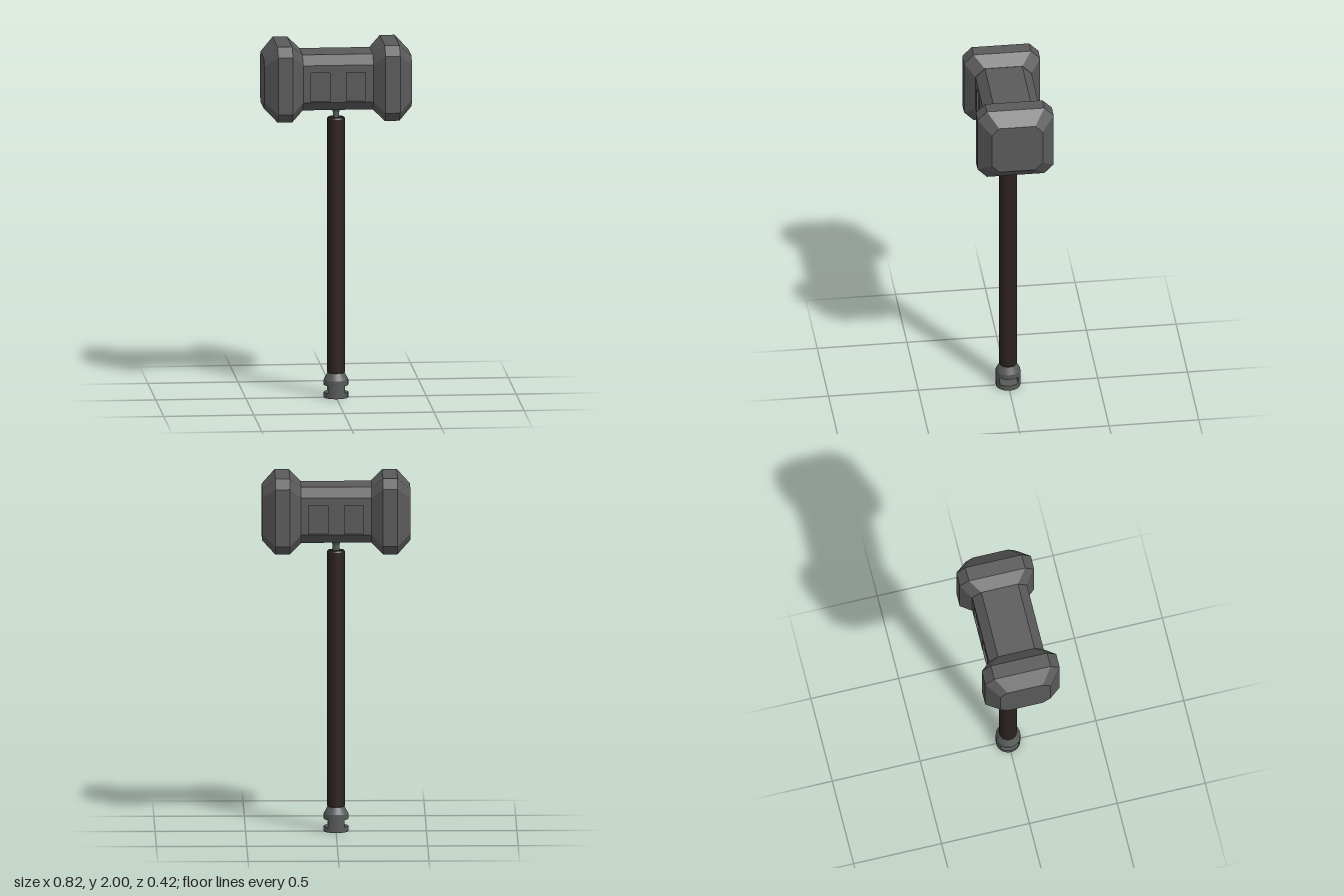
import * as THREE from 'three';

const HEAD_Y = 1.79;

// Chamfered-square cross-section as [y, z] pairs
function octagon(h, c) {
  const b = h - c;
  return [[h, -b], [h, b], [b, h], [-b, h], [-h, b], [-h, -b], [-b, -h], [b, -h]];
}

// Loft octagons along x; rings are [x, half size, chamfer]
function loft(rings, { caps = true, skip = [] } = {}) {
  const pos = [];
  const sections = rings.map(([x, h, c]) => octagon(h, c).map(([y, z]) => [x, y, z]));
  const tri = (a, b, c) => pos.push(...a, ...b, ...c);
  for (let r = 0; r < sections.length - 1; r++) {
    const s = sections[r], t = sections[r + 1];
    for (let i = 0; i < 8; i++) {
      if (skip.includes(i)) continue;
      const j = (i + 1) % 8;
      tri(s[i], t[j], t[i]);
      tri(s[i], s[j], t[j]);
    }
  }
  if (caps) {
    const s = sections[0], t = sections[sections.length - 1];
    for (let i = 1; i < 7; i++) {
      tri(s[0], s[i + 1], s[i]);
      tri(t[0], t[i], t[i + 1]);
    }
  }
  const geo = new THREE.BufferGeometry();
  geo.setAttribute('position', new THREE.Float32BufferAttribute(pos, 3));
  geo.computeVertexNormals();
  return geo;
}

export function createModel() {
  const model = new THREE.Group();
  model.name = 'warHammer';

  const stone = new THREE.MeshStandardMaterial({ color: 0x5a5a5a });
  stone.name = 'darkGreyStone';
  const metal = new THREE.MeshStandardMaterial({ color: 0x565a58 });
  metal.name = 'greyMetal';
  const leather = new THREE.MeshStandardMaterial({ color: 0x2c2121 });
  leather.name = 'darkBrownGrip';

  const add = (name, geo, mat, parent = model, y = 0) => {
    const mesh = new THREE.Mesh(geo, mat);
    mesh.name = name;
    mesh.position.y = y;
    parent.add(mesh);
    return mesh;
  };
  // Round section between two heights
  const turned = (name, y0, y1, r0, r1, mat, open = false) =>
    add(name, new THREE.CylinderGeometry(r1, r0, y1 - y0, 32, 1, open), mat, model, (y0 + y1) / 2);

  // Head: two striking blocks joined by a chamfered body
  const head = new THREE.Group();
  head.name = 'head';
  head.position.y = HEAD_Y;
  model.add(head);

  const block = [[0.195, 0.157, 0.052], [0.257, 0.212, 0.052], [0.338, 0.212, 0.052], [0.41, 0.142, 0.042]];
  add('leftBlock', loft(block), stone, head);
  add('rightBlock', loft(block.map(([x, h, c]) => [-x, h, c]).reverse()), stone, head);
  add('headBody', loft([[-0.196, 0.156, 0.052], [0.196, 0.156, 0.052]], { caps: false, skip: [2, 6] }), stone, head);

  // Front and back faces with two shallow recesses each
  const depth = 0.012;
  const face = new THREE.Shape();
  face.moveTo(-0.196, -0.104).lineTo(0.196, -0.104).lineTo(0.196, 0.104).lineTo(-0.196, 0.104).closePath();
  for (const x of [-0.153, 0.045]) {
    const hole = new THREE.Path();
    hole.moveTo(x, -0.1).lineTo(x, 0.062).lineTo(x + 0.106, 0.062).lineTo(x + 0.106, -0.1).closePath();
    face.holes.push(hole);
  }
  for (const [name, turn] of [['front', 0], ['back', Math.PI]]) {
    const side = new THREE.Group();
    side.name = name + 'Panel';
    side.rotation.y = turn;
    head.add(side);
    const frame = new THREE.ExtrudeGeometry(face, { depth, bevelEnabled: false });
    add(name + 'Frame', frame.translate(0, 0, 0.156 - depth), stone, side);
    add(name + 'RecessFloor', new THREE.PlaneGeometry(0.39, 0.206).translate(0, 0, 0.1565 - depth), stone, side);
  }

  // Neck between shaft and head
  turned('neckFlare', 1.605, 1.636, 0.018, 0.032, metal, true);
  turned('neckPin', 1.57, 1.605, 0.018, 0.018, metal, true);

  // Shaft with slightly eased ends
  turned('shaftLowerEdge', 0.135, 0.145, 0.045, 0.05, leather);
  turned('shaft', 0.145, 1.567, 0.05, 0.05, leather, true);
  turned('shaftUpperEdge', 1.567, 1.576, 0.05, 0.045, leather);

  // Pommel with a slot cut straight through along x
  const R = 0.068;
  turned('pommelBase', 0, 0.03, R, R, metal);
  turned('pommelBand', 0.07, 0.1, R, R, metal);
  turned('pommelTaper', 0.1, 0.14, R, 0.047, metal);
  const a = Math.asin(0.05 / R);
  for (const [name, start] of [['Back', a], ['Front', a + Math.PI]]) {
    const cheek = new THREE.Shape();
    cheek.absarc(0, 0, R, start, start + Math.PI - 2 * a, false);
    cheek.closePath();
    const geo = new THREE.ExtrudeGeometry(cheek, { depth: 0.04, bevelEnabled: false, curveSegments: 12 });
    add('pommelCheek' + name, geo.rotateX(-Math.PI / 2), metal, model, 0.03);
  }

  return model;
}
